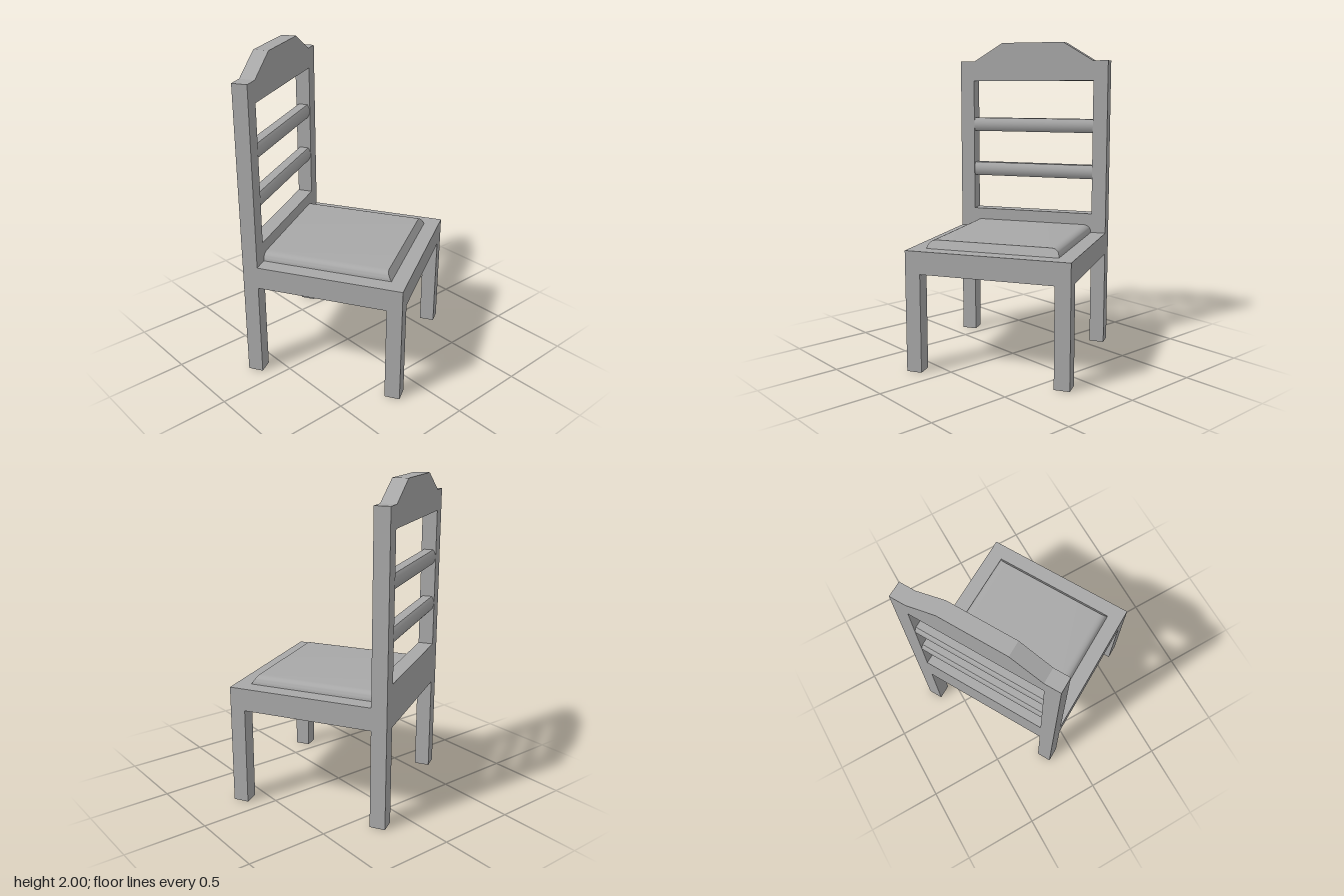
import * as THREE from 'three';
import { toCreasedNormals } from 'three/addons/utils/BufferGeometryUtils.js';

const W = 0.51, D = 0.5;        // half width and half depth
const POST = 0.095;             // leg and back thickness
const INNER = W - POST;         // half width of the back opening
const SEAT_LOW = 0.61, SEAT_TOP = 0.75;

const grey = new THREE.MeshStandardMaterial({ color: 0xa8a8a8 });
grey.name = 'plain grey';

function shapeOf(points) {
  return new THREE.Shape(points.map(([x, y]) => new THREE.Vector2(x, y)));
}

function extrude(shape, depth) {
  return new THREE.ExtrudeGeometry(shape, { depth, bevelEnabled: false, curveSegments: 8 });
}

export function createModel() {
  const model = new THREE.Group();
  const chair = new THREE.Group();
  chair.name = 'chair';
  chair.rotation.y = Math.PI / 6;
  model.add(chair);

  function add(name, geometry, x = 0, y = 0, z = 0) {
    const mesh = new THREE.Mesh(geometry, grey);
    mesh.name = name;
    mesh.position.set(x, y, z);
    chair.add(mesh);
    return mesh;
  }

  // Four square legs
  const leg = new THREE.BoxGeometry(POST, SEAT_LOW, POST);
  for (const sx of [-1, 1]) {
    for (const sz of [-1, 1]) {
      add((sz > 0 ? 'front' : 'back') + (sx > 0 ? 'LeftLeg' : 'RightLeg'), leg,
        sx * (W - POST / 2), SEAT_LOW / 2, sz * (D - POST / 2));
    }
  }

  // Seat slab in front of the back frame
  add('seat', new THREE.BoxGeometry(2 * W, SEAT_TOP - SEAT_LOW, 2 * D - POST),
    0, (SEAT_LOW + SEAT_TOP) / 2, POST / 2);

  // Back frame with posts, crest and one tall opening
  const frame = shapeOf([
    [-W, SEAT_LOW], [W, SEAT_LOW], [W, 1.88], [0.41, 1.88], [0.21, 2],
    [-0.21, 2], [-0.41, 1.88], [-W, 1.88],
  ]);
  frame.holes.push(shapeOf([
    [-INNER, 0.875], [-INNER, 1.75], [INNER, 1.75], [INNER, 0.875],
  ]));
  add('backFrame', extrude(frame, POST), 0, 0, -D);

  // Two slats with bulging front and back faces
  const slatShape = new THREE.Shape();
  slatShape.moveTo(-0.03, -0.045);
  slatShape.lineTo(0.03, -0.045);
  slatShape.quadraticCurveTo(0.063, 0, 0.03, 0.045);
  slatShape.lineTo(-0.03, 0.045);
  slatShape.quadraticCurveTo(-0.063, 0, -0.03, -0.045);
  const slat = toCreasedNormals(
    extrude(slatShape, 2 * INNER).translate(0, 0, -INNER).rotateY(Math.PI / 2), 0.6);
  [1.15, 1.455].forEach((y) => add('backSlat', slat, 0, y, -D + POST / 2));

  // Cushion: rounded sides, sloping front edge, butted against the back
  const pad = new THREE.Shape();
  pad.moveTo(-0.413, 0);
  pad.lineTo(0.413, 0);
  pad.bezierCurveTo(0.41, 0.03, 0.395, 0.05, 0.355, 0.05);
  pad.lineTo(-0.355, 0.05);
  pad.bezierCurveTo(-0.395, 0.05, -0.41, 0.03, -0.413, 0);
  const depth = 0.81;
  let cushion = extrude(pad, depth);
  const p = cushion.attributes.position;
  for (let i = 0; i < p.count; i++) {
    if (p.getZ(i) > depth / 2) p.setZ(i, depth - 0.6 * p.getY(i));
  }
  cushion = toCreasedNormals(cushion, 0.6);
  add('seatCushion', cushion, 0, SEAT_TOP, -D + POST);

  return model;
}
